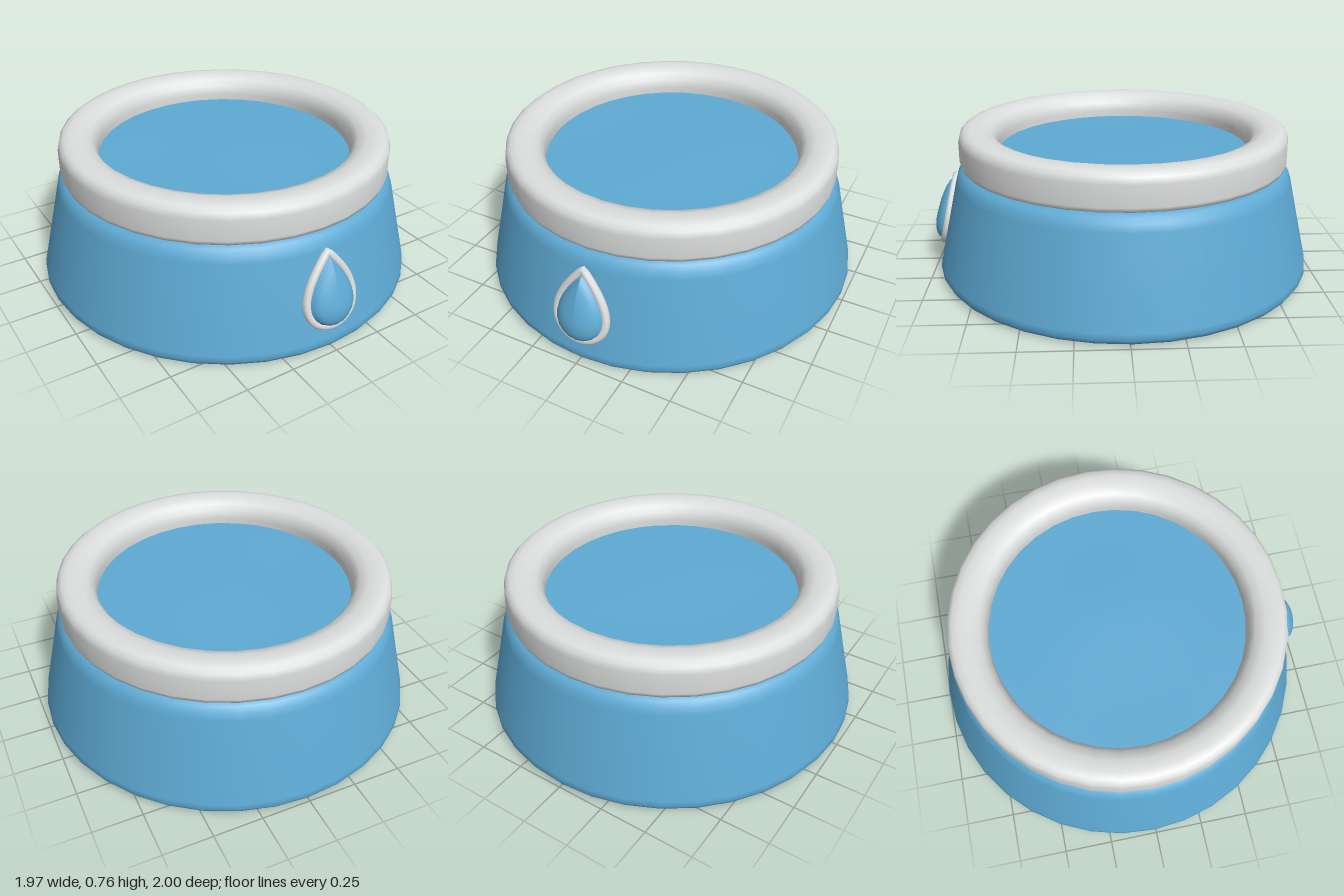
import * as THREE from 'three';
import { mergeVertices } from 'three/addons/utils/BufferGeometryUtils.js';
import { ParametricGeometry } from 'three/addons/geometries/ParametricGeometry.js';

const CENTER_Z = -0.012;
const SIDES = 36;

// Point on the sloping front wall of the bowl
function wallPoint(x, y, lift = 0) {
  const r = 0.985 - (y - 0.05) * 0.235;
  return new THREE.Vector3(x, y, Math.sqrt(r * r - x * x) + CENTER_Z + lift);
}

// Teardrop outline, starting at the tip and heading toward +x
function dropOutline(t) {
  return [0.17 * Math.sin(t) * Math.sin(t / 2), 0.31 + 0.178 * Math.cos(t)];
}

function smooth(geometry) {
  geometry.deleteAttribute('normal');
  geometry.deleteAttribute('uv');
  const merged = mergeVertices(geometry, 1e-4);
  merged.computeVertexNormals();
  return merged;
}

export function createModel() {
  const blue = new THREE.MeshStandardMaterial({ color: 0x5eaad4 });
  blue.name = 'blue';
  const white = new THREE.MeshStandardMaterial({ color: 0xdddfde });
  white.name = 'offWhite';

  const group = new THREE.Group();
  group.name = 'waterBowl';
  const add = (name, geometry, material) => {
    const mesh = new THREE.Mesh(geometry, material);
    mesh.name = name;
    group.add(mesh);
    return mesh;
  };
  const lathe = (name, profile, material) => {
    const points = profile.map(([r, y]) => new THREE.Vector2(r, y));
    add(name, new THREE.LatheGeometry(points, SIDES), material).position.z = CENTER_Z;
  };

  // Tapered base with softened edges and a flat underside
  lathe('base', [
    [0, 0.003], [0.9, 0.003], [0.945, 0.003], [0.972, 0.012], [0.986, 0.035], [0.982, 0.065],
    [0.93, 0.285], [0.88, 0.5], [0.868, 0.535], [0.848, 0.56], [0.815, 0.577], [0.7, 0.58],
  ], blue);

  // Thick rounded rim
  lathe('rim', [
    [0.7, 0.575], [0.825, 0.575], [0.847, 0.583], [0.855, 0.605], [0.855, 0.71], [0.847, 0.742],
    [0.825, 0.761], [0.79, 0.768], [0.735, 0.765], [0.69, 0.748], [0.665, 0.715], [0.655, 0.67],
    [0.66, 0.6],
  ], white);

  // Gently rippled water surface inside the rim, facing up
  const water = new ParametricGeometry((u, v, target) => {
    const a = u * Math.PI * 2, r = v * 0.68;
    const x = r * Math.sin(a), z = -r * Math.cos(a);
    const ripple = 0.008 * Math.sin(5 * x + 1) * Math.cos(4 * z) * (1 - v * v);
    target.set(x, 0.635 + ripple, z);
  }, SIDES, 10);
  add('water', smooth(water), blue).position.z = CENTER_Z;

  // Teardrop frame lying on the front wall
  const framePoints = [];
  for (let i = 0; i < 24; i++) {
    const [x, y] = dropOutline((i / 24) * Math.PI * 2);
    framePoints.push(wallPoint(x, y, 0.004));
  }
  const frameCurve = new THREE.CatmullRomCurve3(framePoints, true);
  add('dropFrame', new THREE.TubeGeometry(frameCurve, 48, 0.022, 8, true), white);

  // Domed droplet inside the frame
  const drop = new ParametricGeometry((u, v, target) => {
    const [x, y] = dropOutline(u * Math.PI * 2);
    target.copy(wallPoint(x * v, 0.255 + (y - 0.255) * v, 0.072 * Math.sqrt(1 - v * v)));
  }, 24, 8);
  add('droplet', smooth(drop), blue);

  return group;
}
